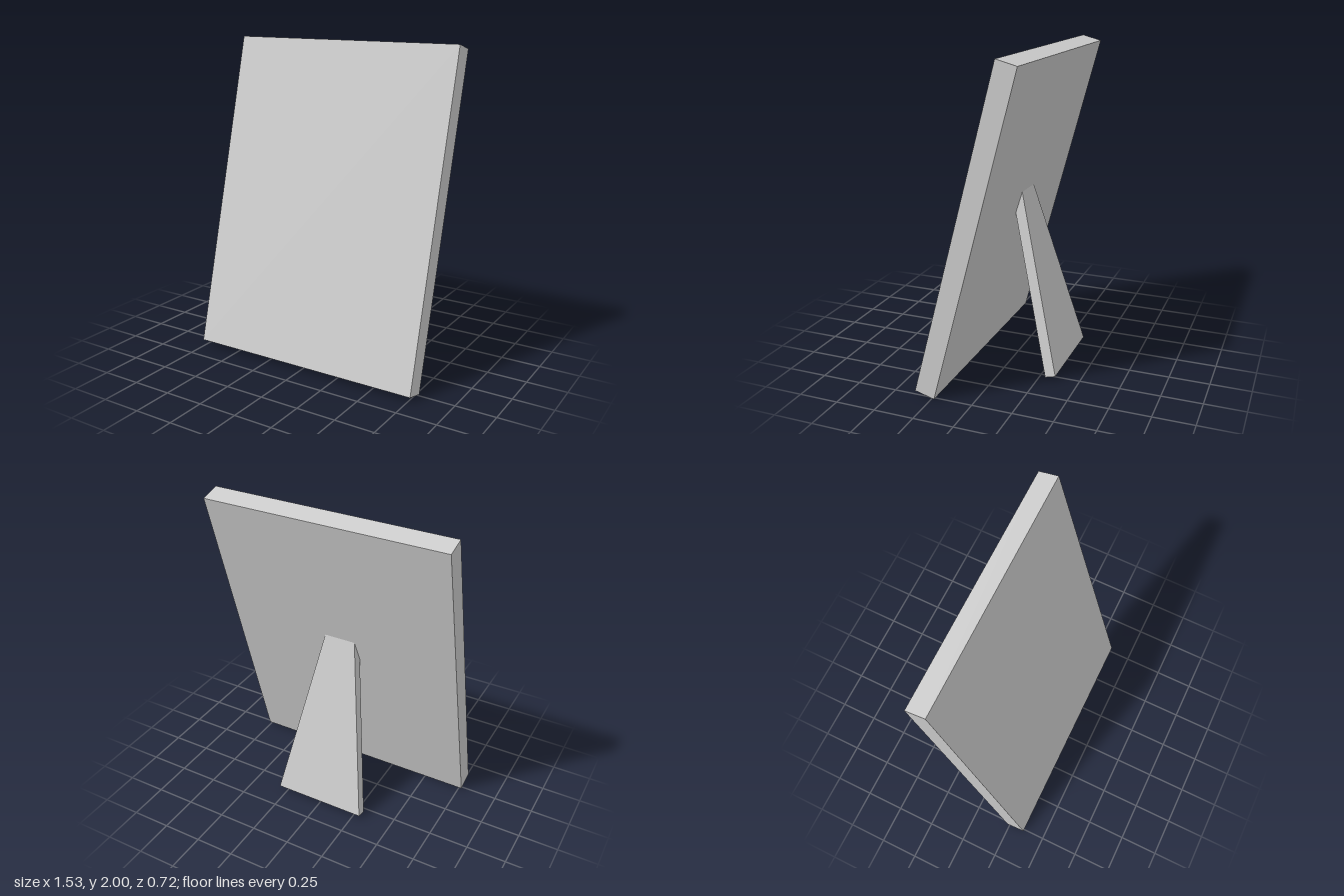
import * as THREE from 'three';

const TILT = THREE.MathUtils.degToRad(15);

export function createModel() {
  const model = new THREE.Group();
  const material = new THREE.MeshStandardMaterial({ color: 0xcccccc, flatShading: true });

  // Slab leaning back, pivoting on its lower back edge
  const [width, height, depth] = [1.534, 2.034, 0.127];
  const panelGeometry = new THREE.BoxGeometry(width, height, depth);
  panelGeometry.translate(0, height / 2, depth / 2);
  const panel = new THREE.Mesh(panelGeometry, material);
  panel.name = 'framePanel';
  panel.position.set(0, 0, 0.235);
  panel.rotation.x = -TILT;
  model.add(panel);

  // Tapered easel leg leaning forward, its top sunk into the slab
  const legLength = 1.14;
  const legShape = new THREE.Shape([
    new THREE.Vector2(-0.3, 0),
    new THREE.Vector2(0.3, 0),
    new THREE.Vector2(0.1, legLength),
    new THREE.Vector2(-0.1, legLength),
  ]);
  const legGeometry = new THREE.ExtrudeGeometry(legShape, { depth: 0.067, bevelEnabled: false });
  const leg = new THREE.Mesh(legGeometry, material);
  leg.name = 'easelLeg';
  leg.position.set(0, 0.029, -0.358);
  leg.rotation.x = TILT;
  model.add(leg);

  return model;
}
